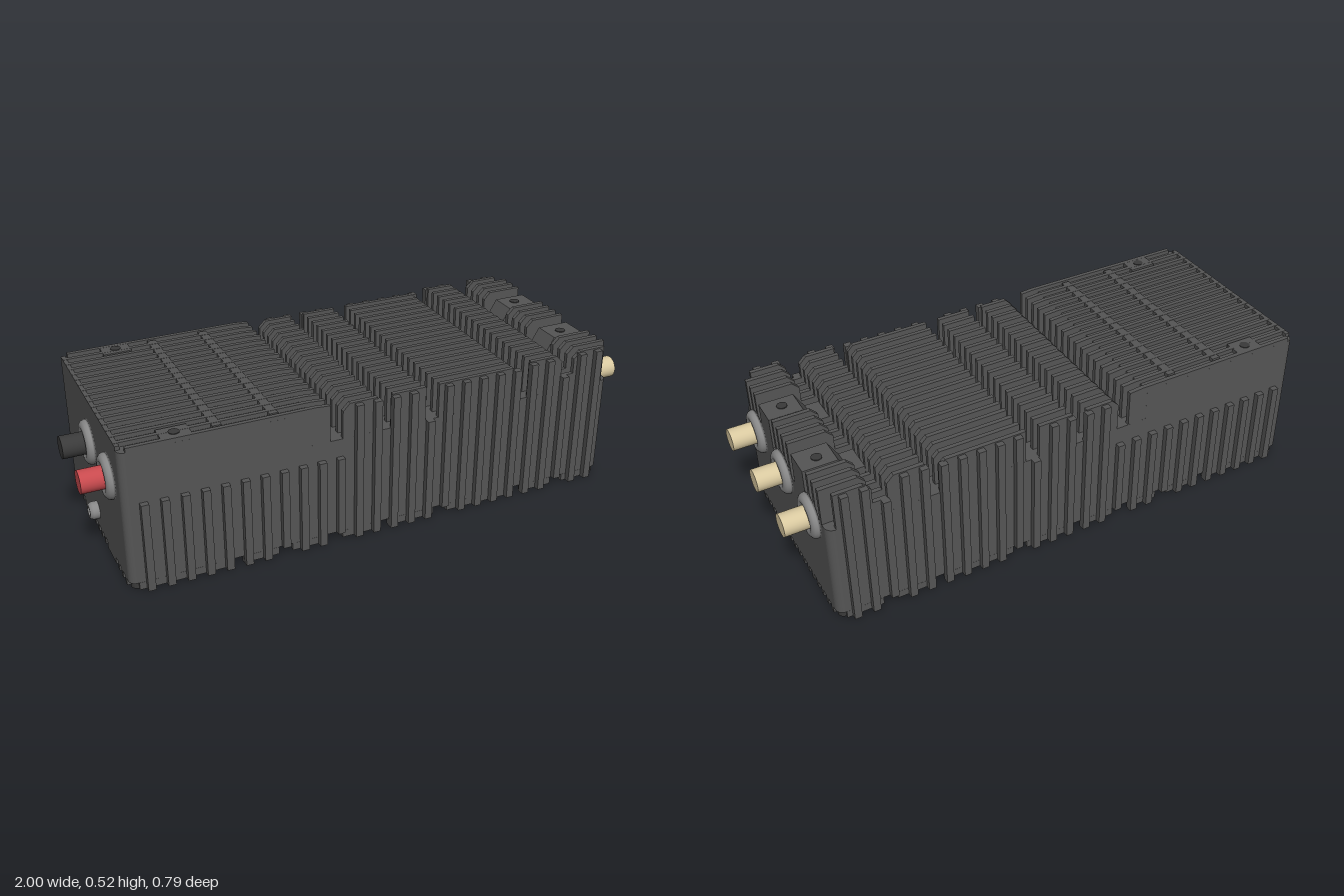
import * as THREE from 'three';

const PITCH = 0.0432, FLOOR = 0.385, BASE = 0.027;
const mat = (color) => new THREE.MeshStandardMaterial({ color });

export function createModel() {
  const root = new THREE.Group();
  const dark = mat(0x555555), black = mat(0x3a3a3a), steel = mat(0x888888);
  const cream = mat(0xd9c9a0), red = mat(0xc84a4e);

  const add = (name, geo, m, x = 0, y = 0, z = 0, parent = root) => {
    const mesh = new THREE.Mesh(geo, m);
    mesh.name = name;
    mesh.position.set(x, y, z);
    parent.add(mesh);
    return mesh;
  };
  const box = (name, x0, x1, y0, y1, z0, z1, parent = root) =>
    add(name, new THREE.BoxGeometry(x1 - x0, y1 - y0, z1 - z0), dark,
      (x0 + x1) / 2, (y0 + y1) / 2, (z0 + z1) / 2, parent);
  const group = (name) => {
    const g = new THREE.Group();
    g.name = name;
    root.add(g);
    return g;
  };

  // Slab with rounded vertical corners; separate radii for its left and right ends
  const slab = (name, x0, x1, y0, y1, rl, rr) => {
    const w = 0.375, s = new THREE.Shape();
    s.moveTo(x0 + rl, -w);
    s.lineTo(x1 - rr, -w);
    if (rr) s.absarc(x1 - rr, -w + rr, rr, -Math.PI / 2, 0);
    s.lineTo(x1, w - rr);
    if (rr) s.absarc(x1 - rr, w - rr, rr, 0, Math.PI / 2);
    s.lineTo(x0 + rl, w);
    if (rl) s.absarc(x0 + rl, w - rl, rl, Math.PI / 2, Math.PI);
    s.lineTo(x0, -w + rl);
    if (rl) s.absarc(x0 + rl, -w + rl, rl, Math.PI, Math.PI * 1.5);
    const geo = new THREE.ExtrudeGeometry(s, { depth: y1 - y0, bevelEnabled: false, curveSegments: 6 });
    geo.rotateX(-Math.PI / 2);
    add(name, geo, dark, 0, y0, 0);
  };
  slab('housing', -0.9, 0.895, BASE, FLOOR, 0.025, 0.03);
  slab('raisedHousing', -0.9, -0.27, FLOOR, 0.505, 0.025, 0);

  // Plate cut from a side profile and centred on z
  const plate = (name, pts, thick, z, parent) => {
    const s = new THREE.Shape(pts.map(([x, y]) => new THREE.Vector2(x, y)));
    const geo = new THREE.ExtrudeGeometry(s, { depth: thick, bevelEnabled: false });
    add(name, geo, dark, 0, 0, z - thick / 2, parent);
  };

  // Top cooling fins, in segments along x
  const segments = [
    [[-0.155, FLOOR], [-0.03, FLOOR], [-0.03, 0.51], [-0.13, 0.51], [-0.155, 0.485]],
    [[0.025, FLOOR], [0.15, FLOOR], [0.15, 0.51], [0.025, 0.51]],
    [[0.2, FLOOR], [0.51, FLOOR], [0.51, 0.49], [0.49, 0.51], [0.2, 0.51]],
  ];
  const endFin = (x1) => [[0.56, FLOOR], [x1, FLOOR], [x1, 0.52], [0.765, 0.52], [0.74, 0.495],
    [0.74, 0.44], [0.69, 0.44], [0.69, 0.495], [0.665, 0.52], [0.56, 0.52]];
  const shortFin = [[0.56, FLOOR], [0.69, FLOOR], [0.69, 0.495], [0.665, 0.52], [0.56, 0.52]];
  const leftFin = (x0) => [[x0, FLOOR], [-0.2, FLOOR], [-0.2, 0.516], [-0.25, 0.52], [x0, 0.52]];
  const topFins = group('topFins');
  for (let k = -9; k < 9; k++) {
    const z = (k + 0.5) * PITCH, a = Math.abs(z), outer = a > 0.36;
    const onPad = a > 0.1 && a < 0.2;
    const profiles = [...segments, leftFin(outer ? -0.875 : -0.9),
      onPad ? shortFin : endFin(outer ? 0.865 : 0.895)];
    profiles.forEach((p) => plate('topFin', p, 0.0155, z, topFins));
  }

  // Bars tying the raised fins together, and the rim at their end
  for (const [x0, x1] of [[-0.9, -0.885], [-0.59, -0.56], [-0.4, -0.37]])
    box('finTieBar', x0, x1, 0.5, 0.519, -0.35, 0.35);

  // Bottom fins, cut by cross channels
  const spans = [[-0.9, -0.56], [-0.515, -0.39], [-0.34, -0.23], [-0.155, -0.03],
    [0.02, 0.195], [0.25, 0.51], [0.56, 0.685], [0.735, 0.895]];
  const bottomFins = group('bottomFins');
  for (const [x0, x1] of spans)
    for (let k = -9; k < 9; k++) {
      const z = (k + 0.5) * PITCH, inset = Math.abs(z) > 0.36 ? 0.03 : 0;
      box('bottomFin', x0 === -0.9 ? x0 + inset : x0, x1 === 0.895 ? x1 - inset : x1,
        0, BASE, z - 0.0082, z + 0.0082, bottomFins);
    }

  // Side ribs, whose tops follow the fin segments
  const topAt = (x) => {
    if (x < -0.15) return 0.32;
    if (x < -0.03 || (x > 0.02 && x < 0.155) || (x > 0.195 && x < 0.51)) return 0.505;
    if (x > 0.69 && x < 0.74) return 0.44;
    return x > 0.555 ? 0.515 : FLOOR;
  };
  const sideRibs = group('sideRibs');
  for (let i = 0; i < 26; i++) {
    const x = -0.834 + i * 0.0667;
    const grounded = spans.some(([a, b]) => x > a && x < b);
    for (const s of [-1, 1])
      box('sideRib', x - 0.013, x + 0.013, grounded ? 0 : 0.03, topAt(x),
        s > 0 ? 0.37 : -0.395, s > 0 ? 0.395 : -0.37, sideRibs);
  }

  // Screws and their pads
  const screw = (name, x, y0, y1, z, r = 0.018) => {
    const geo = new THREE.CylinderGeometry(r, r, y1 - y0, 20);
    add(name, geo, black, x, (y0 + y1) / 2, z);
  };
  for (const s of [-1, 1]) {
    plate('endPad', [[0.69, FLOOR], [0.895, FLOOR], [0.895, 0.5], [0.775, 0.5], [0.74, 0.44], [0.69, 0.44]],
      0.1, s * 0.15);
    screw('endPadScrew', 0.83, 0.48, 0.503, s * 0.155);
    box('topPad', -0.76, -0.66, 0.5, 0.5195, s * 0.335 - 0.035, s * 0.335 + 0.035);
    screw('topScrew', -0.71, 0.5, 0.522, s * 0.335);
    for (const x of [-0.825, 0.815])
      box('bottomPad', x - 0.075, x + 0.075, 0.001, BASE, s * 0.15 - 0.05, s * 0.15 + 0.05);
    for (const x of [-0.87, -0.27, 0.865]) screw('footScrew', x, 0.002, 0.042, s * 0.347, 0.021);
  }

  // Cable connectors: rounded collar and a plug, lathed along the outward direction
  const collar = [[0, 0], [0.077, 0], [0.077, 0.008], [0.073, 0.018], [0.064, 0.025], [0.052, 0.027], [0.038, 0.02]]
    .map(([r, h]) => new THREE.Vector2(r, h));
  const connector = (name, side, z, m) => {
    const g = group(name);
    g.position.set(side > 0 ? 0.895 : -0.9, 0.36, z);
    g.rotation.z = -side * Math.PI / 2;
    add('collar', new THREE.LatheGeometry(collar, 36), steel, 0, 0, 0, g);
    const len = side > 0 ? 0.105 : 0.1;
    add('plug', new THREE.CylinderGeometry(0.039, 0.039, len, 32), m, 0, len / 2, 0, g);
  };
  for (const z of [-0.245, 0, 0.245]) connector('outputConnector', 1, z, cream);
  connector('positiveConnector', -1, 0.24, red);
  connector('negativeConnector', -1, 0, black);

  // Small socket low on the end wall
  const socket = [[0.031, 0], [0.031, 0.02], [0.025, 0.032], [0.015, 0.032], [0.015, 0.002], [0, 0.002]]
    .map(([r, h]) => new THREE.Vector2(r, h));
  const jack = add('smallSocket', new THREE.LatheGeometry(socket, 28), steel, -0.9, 0.095, 0);
  jack.rotation.z = Math.PI / 2;

  return root;
}
